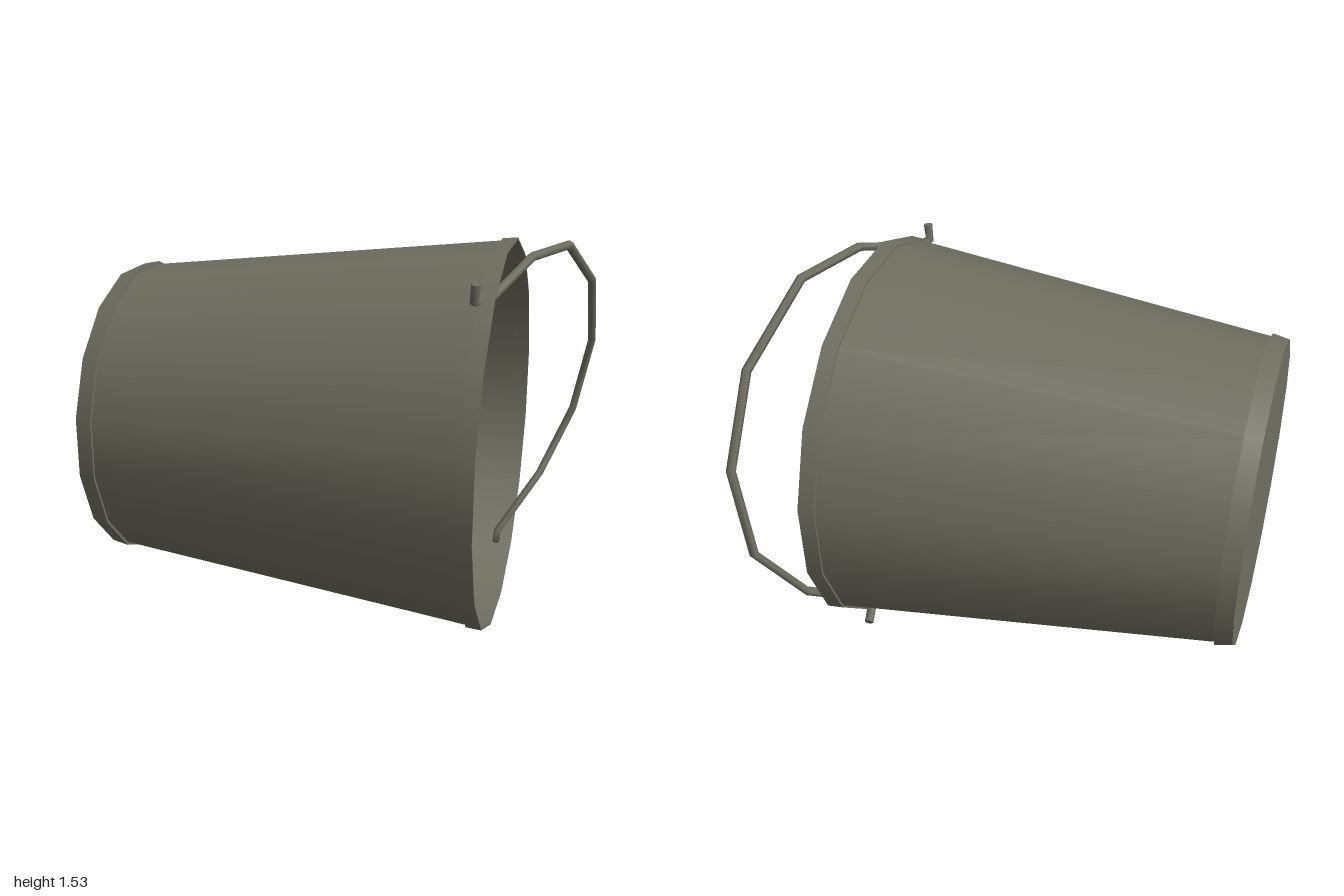
import * as THREE from 'three';

const SIDES = 16;
const LENGTH = 1.566;

// Lathe around the bucket's axis, laid down so the mouth points to +x
function ring(name, profile, material) {
  const pts = profile.map(([r, s]) => new THREE.Vector2(r, s));
  const g = new THREE.LatheGeometry(pts, SIDES, THREE.MathUtils.degToRad(-79.6));
  g.rotateZ(-Math.PI / 2);
  const mesh = new THREE.Mesh(g, material);
  mesh.name = name;
  return mesh;
}

// Polyline curve that puts one tube ring on each bend
class BentWire extends THREE.Curve {
  constructor(points) {
    super();
    this.points = points;
  }
  getPoint(t) {
    const f = t * (this.points.length - 1);
    const i = Math.min(Math.floor(f + 1e-6), this.points.length - 2);
    return this.points[i].clone().lerp(this.points[i + 1], f - i);
  }
  getPointAt(u) { return this.getPoint(u); }
  getTangentAt(u) {
    const n = this.points.length - 1;
    const i = Math.round(u * n);
    const p = this.points;
    const t = new THREE.Vector3();
    if (i > 0) t.add(p[i].clone().sub(p[i - 1]).normalize());
    if (i < n) t.add(p[i + 1].clone().sub(p[i]).normalize());
    return t.normalize();
  }
}

export function createModel() {
  const model = new THREE.Group();
  model.name = 'bucket';
  const metal = new THREE.MeshStandardMaterial({ color: 0x6e6e60, side: THREE.DoubleSide });
  metal.name = 'dull metal';

  // Tapered pail, lying on its side and turned slightly
  const pail = new THREE.Group();
  pail.name = 'pail';
  pail.position.set(-0.931, 0.77, -0.178);
  pail.rotation.y = THREE.MathUtils.degToRad(-6.5);
  pail.add(
    ring('wall', [[0.59, 0], [0.772, LENGTH]], metal),
    ring('floor', [[0, 0], [0.595, 0]], metal),
    ring('baseBand', [[0.596, 0], [0.61, 0.066]], metal),
    ring('baseBandEdge', [[0.61, 0.066], [0.597, 0.066]], metal),
    ring('rimBandEdge', [[0.764, LENGTH - 0.06], [0.774, LENGTH - 0.06]], metal),
    ring('rimBand', [[0.774, LENGTH - 0.06], [0.779, LENGTH]], metal),
    ring('rimLip', [[0.779, LENGTH], [0.771, LENGTH]], metal),
  );
  model.add(pail);

  // Wire handle, with hooked ends through the wall
  const path = [
    [0.51, 1.475, 0.434], [0.505, 1.412, 0.428], [0.545, 1.398, 0.39],
    [0.70, 1.515, 0.12], [0.84, 1.51, -0.155], [0.955, 1.30, -0.485],
    [0.982, 0.99, -0.685], [0.92, 0.65, -0.74], [0.785, 0.375, -0.62],
    [0.61, 0.17, -0.41], [0.605, 0.118, -0.405], [0.6, 0.09, -0.468],
  ].map((p) => new THREE.Vector3(...p));
  const handle = new THREE.Mesh(
    new THREE.TubeGeometry(new BentWire(path), path.length - 1, 0.018, 6, false), metal);
  handle.name = 'handle';
  model.add(handle);

  // Caps on the wire ends
  [[path[0], path[1]], [path[path.length - 1], path[path.length - 2]]].forEach(([end, next]) => {
    const cap = new THREE.Mesh(new THREE.CircleGeometry(0.018, 6), metal);
    cap.name = 'wireEnd';
    cap.position.copy(end);
    cap.lookAt(end.clone().multiplyScalar(2).sub(next));
    model.add(cap);
  });

  return model;
}
